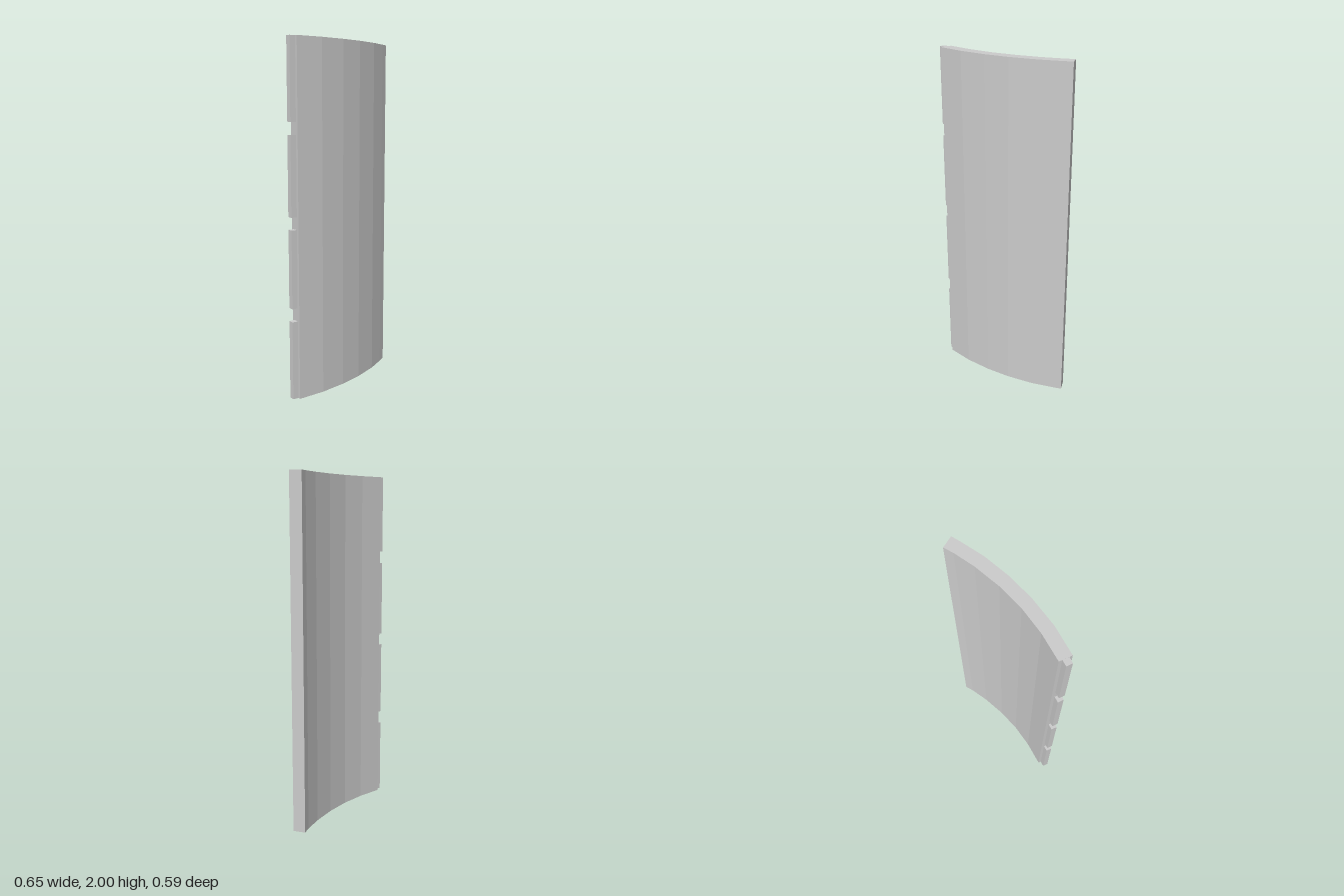
import * as THREE from 'three';

const material = new THREE.MeshStandardMaterial({ color: 0xcccccc, flatShading: true });

// Upright prism over a plan outline of [x, z] points, from y0 to y1
function prism(name, plan, y0, y1) {
  const shape = new THREE.Shape(plan.map(([x, z]) => new THREE.Vector2(x, -z)));
  const geometry = new THREE.ExtrudeGeometry(shape, { depth: y1 - y0, bevelEnabled: false });
  geometry.rotateX(-Math.PI / 2).translate(0, y0, 0);
  const mesh = new THREE.Mesh(geometry, material);
  mesh.name = name;
  return mesh;
}

export function createModel() {
  const group = new THREE.Group();
  group.name = 'curvedPanel';

  // Faceted curved stave: outer (front) face, then inner (back) face
  const outer = [[-0.275, 0.293], [-0.132, 0.215], [0, 0.119], [0.1125, 0.018],
    [0.221, -0.104], [0.296, -0.212], [0.327, -0.26]];
  const inner = [[-0.304, 0.23], [-0.17, 0.156], [-0.047, 0.069], [0.065, -0.033],
    [0.166, -0.147], [0.238, -0.247], [0.266, -0.296]];
  group.add(prism('panel', [...outer, ...inner.reverse()], 0, 2));

  // Tongue along the side edge, split by three gaps
  const tongue = [[-0.282, 0.278], [-0.297, 0.246], [-0.327, 0.262], [-0.313, 0.292]];
  const spans = [[0, 0.45], [0.525, 0.967], [1.037, 1.482], [1.552, 2]];
  spans.forEach(([y0, y1], i) => group.add(prism(`edgeTongue${i + 1}`, tongue, y0, y1)));

  return group;
}
